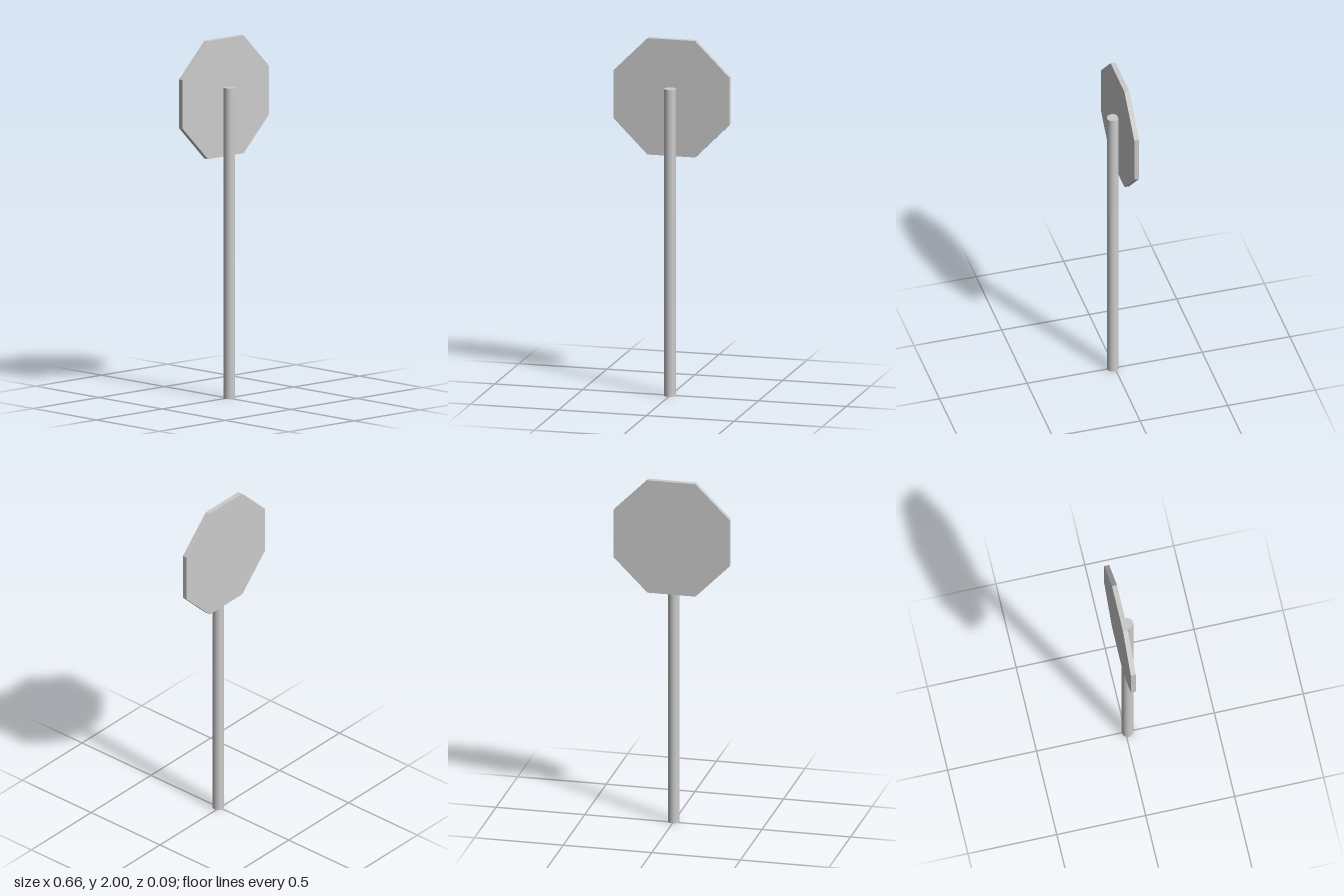
import * as THREE from 'three';

export function createModel() {
  const group = new THREE.Group();
  group.name = 'octagonalRoadSign';

  // Round pole standing on the ground, in front of the plate
  const poleRadius = 0.032, poleHeight = 1.73;
  const pole = new THREE.Mesh(
    new THREE.CylinderGeometry(poleRadius, poleRadius, poleHeight, 32),
    new THREE.MeshStandardMaterial({ color: 0xcccccc })
  );
  pole.name = 'pole';
  pole.position.set(0, poleHeight / 2, 0.0115);
  group.add(pole);

  // Eight-sided plate with flat edges at top, bottom and sides
  const halfWidth = 0.328, thickness = 0.028;
  const circumradius = halfWidth / Math.cos(Math.PI / 8);
  const plateGeometry = new THREE.CylinderGeometry(
    circumradius, circumradius, thickness, 8, 1, false, Math.PI / 8
  );
  plateGeometry.rotateX(Math.PI / 2);
  const plate = new THREE.Mesh(
    plateGeometry,
    new THREE.MeshStandardMaterial({ color: 0xcccccc, flatShading: true })
  );
  plate.name = 'signPlate';
  plate.position.set(0, 2 - halfWidth, -0.0305);
  group.add(plate);

  return group;
}
